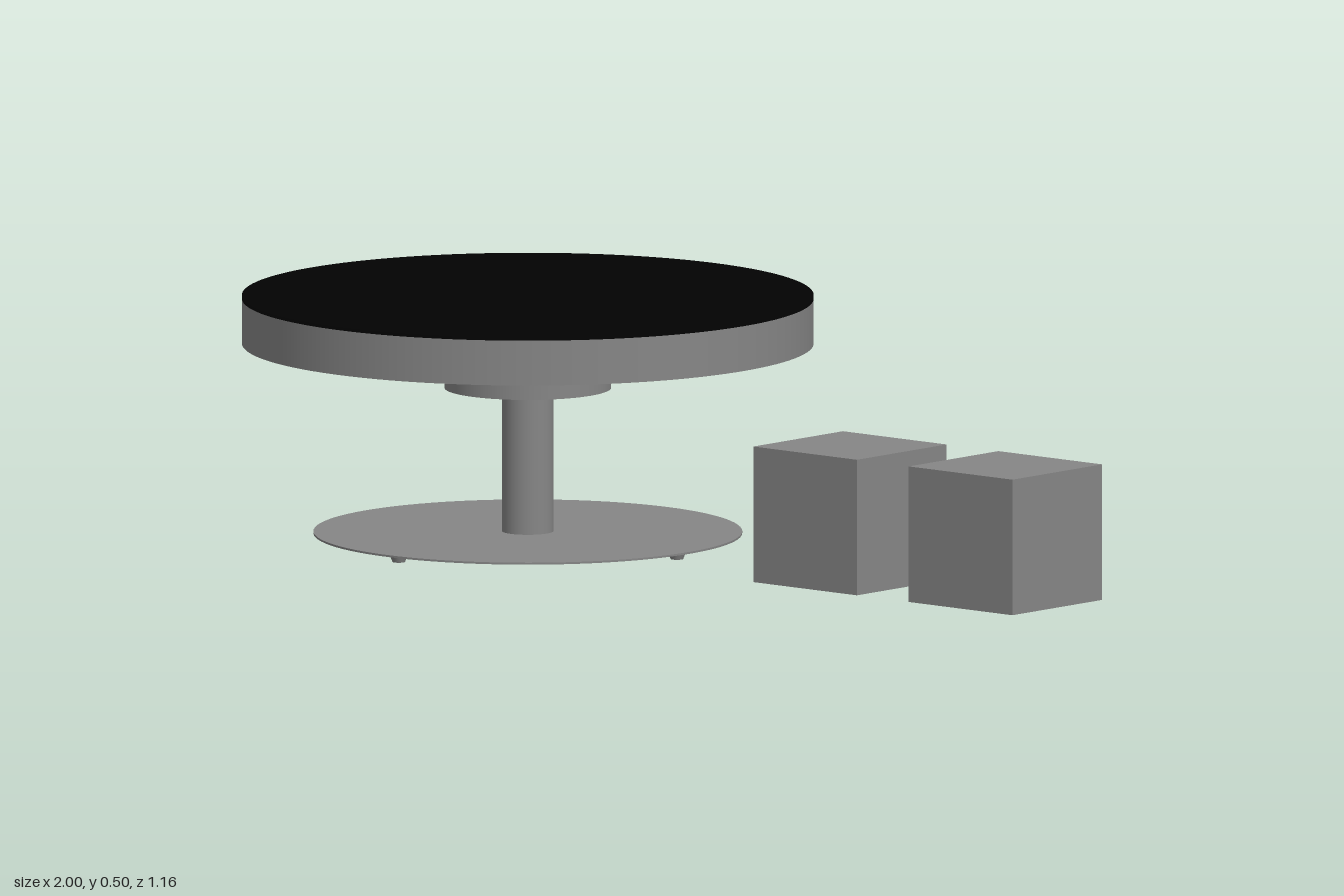
import * as THREE from 'three';

const grey = new THREE.MeshStandardMaterial({ color: 0x868686 });
const black = new THREE.MeshStandardMaterial({ color: 0x020202 });

// Upright round part spanning y0..y1
function disc(name, rTop, rBottom, y0, y1, material = grey, sides = 96) {
  const mesh = new THREE.Mesh(new THREE.CylinderGeometry(rTop, rBottom, y1 - y0, sides), material);
  mesh.name = name;
  mesh.position.y = (y0 + y1) / 2;
  return mesh;
}

export function createModel() {
  const model = new THREE.Group();
  model.name = 'roundTableWithCubeStools';

  // Pedestal table
  const table = new THREE.Group();
  table.name = 'table';
  table.position.x = -0.42;
  table.add(
    disc('basePlate', 0.435, 0.435, 0.014, 0.018),
    disc('post', 0.052, 0.052, 0.018, 0.312, grey, 48),
    disc('hub', 0.169, 0.169, 0.312, 0.403),
    disc('tableTop', 0.58, 0.58, 0.403, 0.495, grey, 128),
    disc('topCover', 0.58, 0.58, 0.495, 0.502, black, 128)
  );

  // Four small tapered feet under the base plate
  for (let i = 0; i < 4; i++) {
    const a = (i * Math.PI) / 2;
    const foot = disc('foot', 0.018, 0.013, 0, 0.014, grey, 24);
    foot.position.x = 0.4 * Math.cos(a);
    foot.position.z = 0.4 * Math.sin(a);
    table.add(foot);
  }
  model.add(table);

  // Two cube stools in a row
  for (const x of [0.444, 0.861]) {
    const stool = new THREE.Mesh(new THREE.BoxGeometry(0.278, 0.278, 0.278), grey);
    stool.name = 'cubeStool';
    stool.position.set(x, 0.139, 0);
    model.add(stool);
  }
  return model;
}
